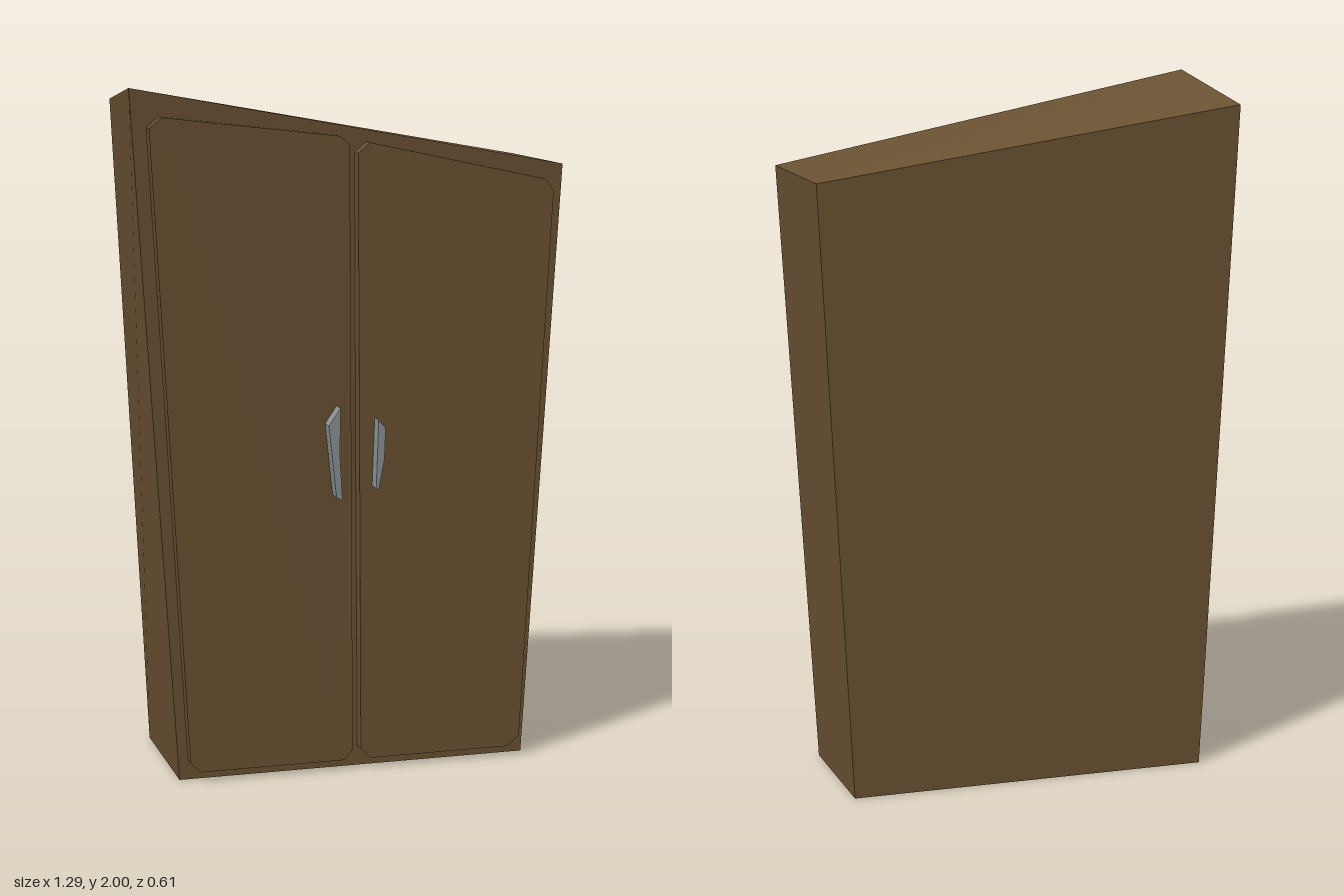
import * as THREE from 'three';

const wood = new THREE.MeshStandardMaterial({ color: 0x6b5233 });
wood.name = 'brown wood';
const metal = new THREE.MeshStandardMaterial({ color: 0x8c9498 });
metal.name = 'grey metal';

// Depth of the leaning, skewed cabinet front at a given point
const frontZ = (x, y) => 0.1416 - 0.057 * x + y * (0.0414 - 0.0069 * x);

function addMesh(parent, name, geometry, material) {
  const flat = geometry.index ? geometry.toNonIndexed() : geometry;
  flat.computeVertexNormals();
  const mesh = new THREE.Mesh(flat, material);
  mesh.name = name;
  parent.add(mesh);
}

// Flat panel that follows the slanted front, from depth "start" to "end"
function slantedPanel(outline, start, end) {
  const shape = new THREE.Shape(outline.map(([x, y]) => new THREE.Vector2(x, y)));
  const geometry = new THREE.ExtrudeGeometry(shape, { depth: end - start, bevelEnabled: false });
  const p = geometry.attributes.position;
  for (let i = 0; i < p.count; i++) {
    p.setZ(i, p.getZ(i) + start + frontZ(p.getX(i), p.getY(i)));
  }
  return geometry;
}

// Box whose eight corners are pulled into a crooked cabinet
function crookedBody() {
  const geometry = new THREE.BoxGeometry(2, 2, 2);
  const p = geometry.attributes.position;
  for (let i = 0; i < p.count; i++) {
    const right = p.getX(i) > 0, top = p.getY(i) > 0, front = p.getZ(i) > 0;
    let x = right ? 0.555 : -0.5, y = 0;
    if (top) {
      x = right ? 0.645 : front ? -0.645 : -0.6;
      y = right ? 1.765 : front ? 2 : 1.945;
    }
    p.setXYZ(i, x, y, front ? frontZ(x, y) : -0.305);
  }
  return geometry;
}

export function createModel() {
  const cabinet = new THREE.Group();
  cabinet.name = 'cabinet';
  addMesh(cabinet, 'body', crookedBody(), wood);

  // Doors with clipped corners, and their crooked handles
  const sides = [
    {
      name: 'right',
      door: [[-0.475, 0.06], [-0.445, 0.03], [-0.01, 0.03], [0.015, 0.06],
        [-0.015, 1.835], [-0.045, 1.86], [-0.56, 1.92], [-0.595, 1.89]],
      handle: [[-0.055, 0.83], [-0.037, 0.82], [-0.046, 0.95], [-0.046, 1.09], [-0.08, 1.04]],
    },
    {
      name: 'left',
      door: [[0.04, 0.06], [0.07, 0.03], [0.5, 0.03], [0.535, 0.06],
        [0.605, 1.69], [0.58, 1.725], [0.045, 1.84], [0.01, 1.81]],
      handle: [[0.064, 0.85], [0.072, 0.845], [0.088, 0.935], [0.09, 1.025], [0.069, 1.05]],
    },
  ];
  for (const { name, door, handle } of sides) {
    addMesh(cabinet, name + 'Door', slantedPanel(door, -0.005, 0.042), wood);
    addMesh(cabinet, name + 'Handle', slantedPanel(handle, 0.036, 0.088), metal);
  }
  return cabinet;
}
